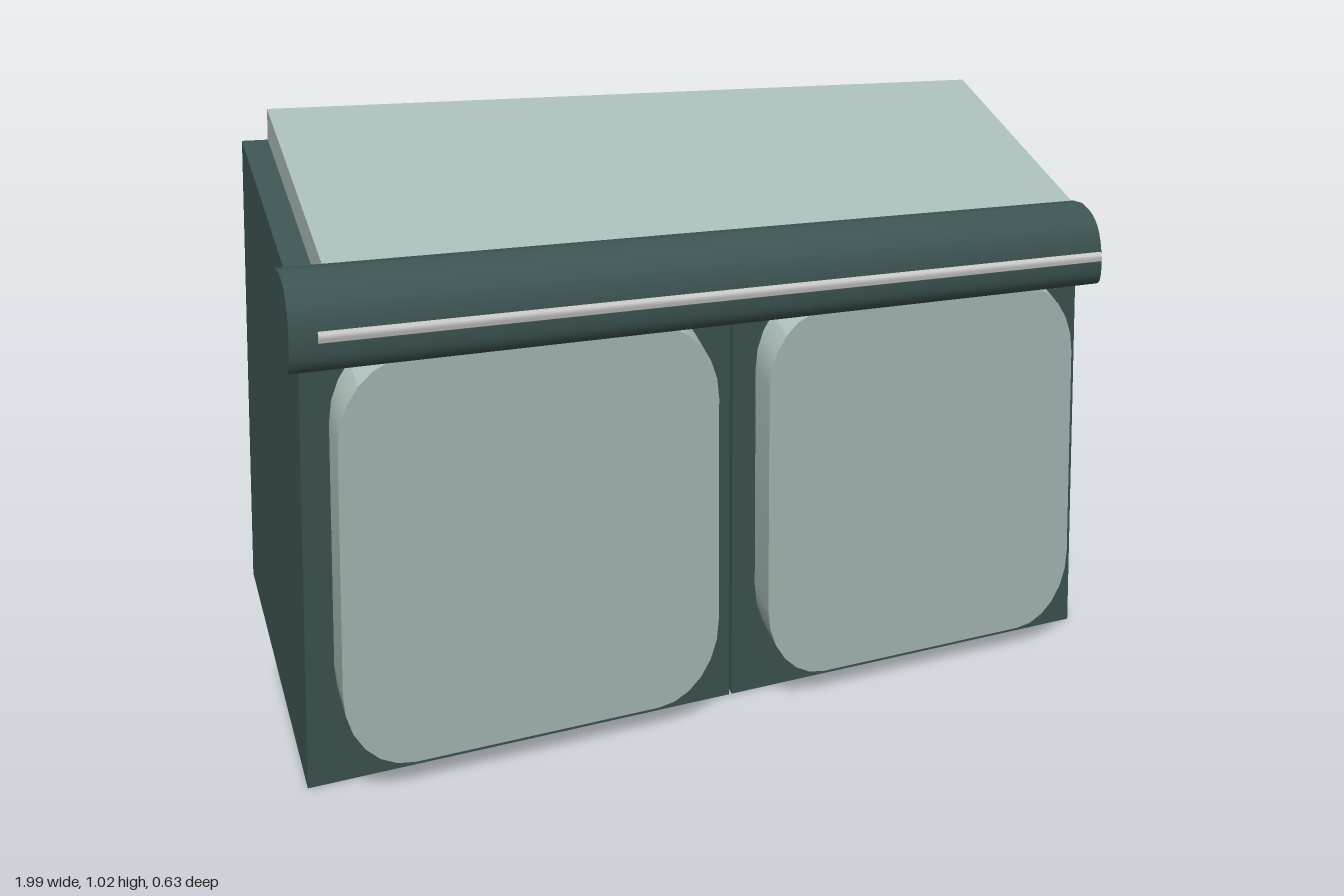
import * as THREE from 'three';
import { toCreasedNormals } from 'three/addons/utils/BufferGeometryUtils.js';

const FRONT = 0.213, BACK = -0.315, SLANT = 0.405;
const dark = new THREE.MeshStandardMaterial({ color: 0x3d5553 });
const light = new THREE.MeshStandardMaterial({ color: 0xa9bdb8 });
const pale = new THREE.MeshStandardMaterial({ color: 0xcccccc });

// The whole cabinet leans: x and y grow steadily towards the back.
function slant(geometry, crease = 0.3) {
  const k = SLANT;
  geometry.applyMatrix4(new THREE.Matrix4().set(
    1, 0, -k, k * FRONT,
    0, 1, -k, k * FRONT,
    0, 0, 1, 0,
    0, 0, 0, 1));
  return toCreasedNormals(geometry, crease);
}

function box(x0, x1, y0, y1, z0, z1) {
  return new THREE.BoxGeometry(x1 - x0, y1 - y0, z1 - z0)
    .translate((x0 + x1) / 2, (y0 + y1) / 2, (z0 + z1) / 2);
}

function roundedRect(x0, x1, y0, y1, r) {
  const s = new THREE.Shape();
  s.absarc(x1 - r, y0 + r, r, -Math.PI / 2, 0);
  s.absarc(x1 - r, y1 - r, r, 0, Math.PI / 2);
  s.absarc(x0 + r, y1 - r, r, Math.PI / 2, Math.PI);
  s.absarc(x0 + r, y0 + r, r, Math.PI, Math.PI * 1.5);
  return s;
}

export function createModel() {
  const group = new THREE.Group();
  const add = (name, geometry, material, crease) => {
    const mesh = new THREE.Mesh(slant(geometry, crease), material);
    mesh.name = name;
    group.add(mesh);
  };

  // Two cabinets side by side, each with a rounded door panel
  [['right', -0.923], ['left', -0.067]].forEach(([side, x]) => {
    add(side + 'Cabinet', box(x, x + 0.85, 0, 0.75, BACK, FRONT), dark);
    const door = new THREE.ExtrudeGeometry(
      roundedRect(x + 0.052, x + 0.797, 0.058, 0.7, 0.13),
      { depth: 0.283 - BACK - 0.01, bevelEnabled: false, curveSegments: 3 });
    add(side + 'Door', door.translate(0, 0, BACK + 0.01), light);
  });

  // Worktop, set in from one end
  add('worktop', box(-0.873, 0.783, 0.75, 0.802, BACK, FRONT), light);

  // Rounded front rail: a (z, y) profile swept along x
  const profile = new THREE.Shape();
  profile.moveTo(0.18, 0.702);
  profile.lineTo(0.27, 0.696);
  profile.quadraticCurveTo(0.311, 0.692, 0.314, 0.735);
  profile.quadraticCurveTo(0.318, 0.818, 0.26, 0.82);
  profile.lineTo(0.23, 0.818);
  profile.lineTo(0.195, 0.805);
  profile.quadraticCurveTo(0.182, 0.795, 0.18, 0.77);
  profile.closePath();
  const rail = new THREE.ExtrudeGeometry(profile, { depth: 1.742, bevelEnabled: false, curveSegments: 8 });
  rail.rotateY(-Math.PI / 2).scale(1, 1, 1);
  add('frontRail', rail.translate(0.785, 0, 0), dark, 0.6);

  // Thin trim strip along the rail
  const strip = new THREE.CylinderGeometry(0.01, 0.01, 1.69, 10);
  add('trimStrip', strip.rotateZ(Math.PI / 2).translate(-0.062, 0.759, 0.309), pale, 0.8);

  return group;
}
